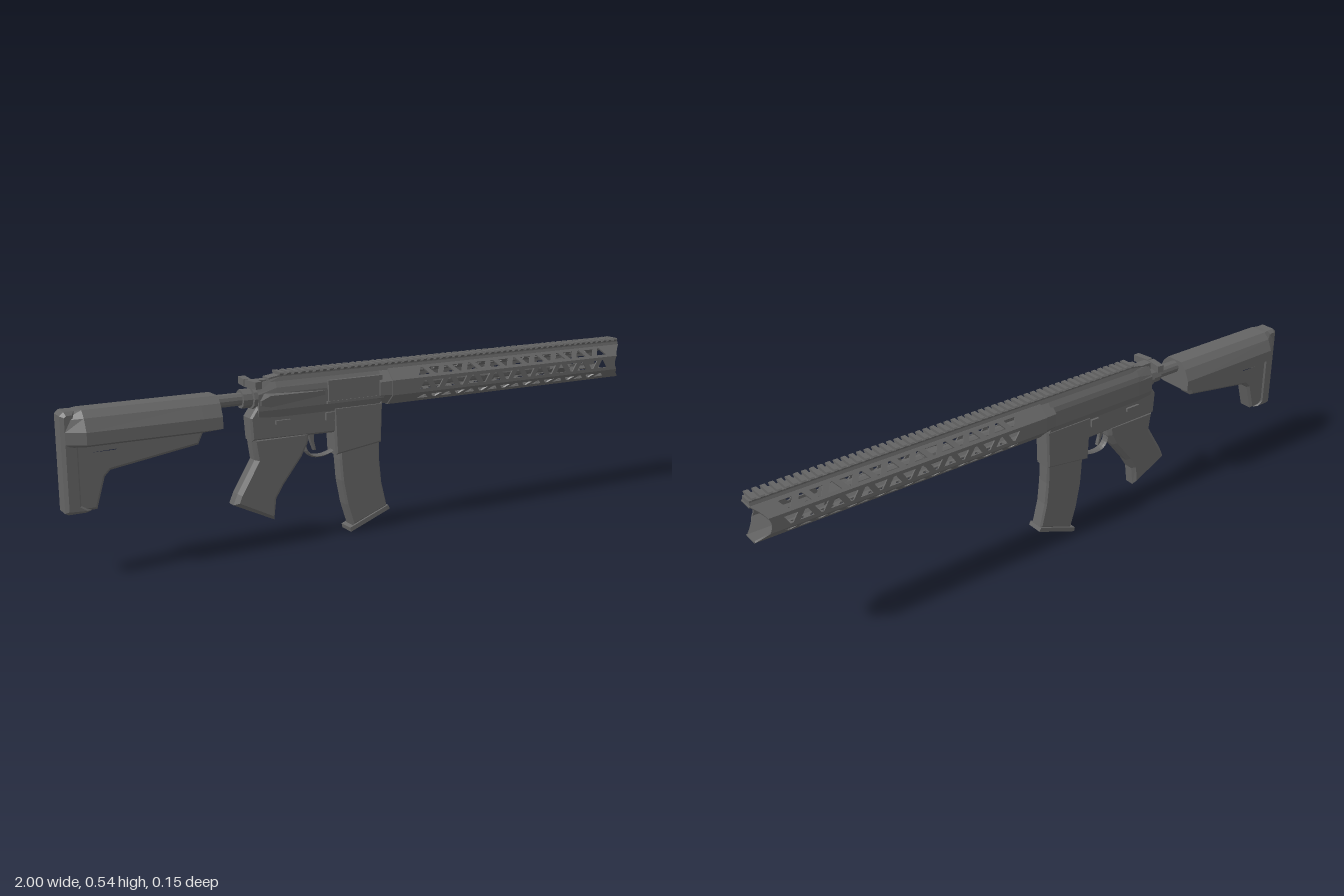
import * as THREE from 'three';

const gunmetal = new THREE.MeshStandardMaterial({ color: 0x646464 });
gunmetal.name = 'gunmetal';
gunmetal.flatShading = true;
const AXIS = 0.455; // height of the barrel line

export function createModel() {
  const model = new THREE.Group();
  const body = new THREE.Group();
  body.name = 'body';
  body.position.z = -0.007;
  model.add(body);

  const add = (name, geometry, x = 0, y = 0, z = 0) => {
    const mesh = new THREE.Mesh(geometry, gunmetal);
    mesh.name = name;
    mesh.position.set(x, y, z);
    body.add(mesh);
    return mesh;
  };
  const box = (name, w, h, d, x, y, z = 0) => add(name, new THREE.BoxGeometry(w, h, d), x, y, z);

  // Cylinder lying along x
  const rod = (name, r0, r1, x0, x1, y, sides = 12, turn = 0) => {
    const g = new THREE.CylinderGeometry(r1, r0, x1 - x0, sides);
    g.rotateY(turn).rotateZ(-Math.PI / 2);
    return add(name, g, (x0 + x1) / 2, y);
  };

  // Side outline given a thickness, with bevelled edges
  const prism = (name, pts, thick, bevel = 0.006, holes = []) => {
    const shape = new THREE.Shape(pts.map(p => new THREE.Vector2(...p)));
    holes.forEach(h => shape.holes.push(new THREE.Path(h.map(p => new THREE.Vector2(...p)))));
    const g = new THREE.ExtrudeGeometry(shape, {
      depth: thick - 2 * bevel, bevelEnabled: bevel > 0, bevelSize: bevel,
      bevelThickness: bevel, bevelOffset: -bevel, bevelSegments: 1
    });
    return add(name, g.translate(0, 0, bevel - thick / 2));
  };

  // Loft along x; each section is [x, half outline of [y, z] from top to bottom, z shift]
  const loft = (name, sections) => {
    const rings = sections.map(([x, half, shift = 0]) => [
      ...half.map(([y, z]) => [x, y, z + shift]),
      ...half.slice().reverse().map(([y, z]) => [x, y, shift - z])
    ]);
    const n = rings[0].length, out = [];
    const tri = (...p) => p.forEach(q => out.push(...q));
    for (let i = 0; i < rings.length - 1; i++) {
      for (let j = 0; j < n; j++) {
        const k = (j + 1) % n, [a, b] = [rings[i], rings[i + 1]];
        tri(a[j], a[k], b[j]);
        tri(a[k], b[k], b[j]);
      }
    }
    const first = rings[0], last = rings[rings.length - 1];
    for (let j = 1; j < n - 1; j++) {
      tri(last[0], last[j], last[j + 1]);
      tri(first[0], first[j + 1], first[j]);
    }
    const g = new THREE.BufferGeometry();
    g.setAttribute('position', new THREE.Float32BufferAttribute(out, 3));
    g.computeVertexNormals();
    return add(name, g);
  };

  // Stock: wide faceted body, thin lower frame with a slot, and butt pad
  const stockHalf = (w, top, low) => [
    [top, w * 0.45], [top - 0.02, w * 0.75], [0.43, w], [0.395, w], [low, w * 0.7]
  ];
  loft('stockBody', [
    [-0.99, stockHalf(0.034, 0.482, 0.386)],
    [-0.94, stockHalf(0.066, 0.487, 0.386)],
    [-0.6, stockHalf(0.068, 0.487, 0.386)],
    [-0.54, stockHalf(0.068, 0.487, 0.392)]
  ]);
  prism('stockFrame', [
    [-0.97, 0.47], [-0.56, 0.45], [-0.56, 0.392], [-0.582, 0.385], [-0.6, 0.347],
    [-0.865, 0.307], [-0.882, 0.29], [-0.908, 0.2], [-0.97, 0.2]
  ], 0.058, 0.008, [[[-0.93, 0.357], [-0.93, 0.373], [-0.835, 0.373], [-0.845, 0.357]]]);
  prism('buttPad', [
    [-1, 0.2], [-1, 0.475], [-0.988, 0.486], [-0.96, 0.486], [-0.95, 0.44],
    [-0.95, 0.22], [-0.925, 0.2], [-0.94, 0.195], [-0.99, 0.195]
  ], 0.068, 0.01);

  // Stock tube and lock rings
  rod('stockTube', 0.02, 0.02, -0.56, -0.4, 0.462);
  rod('lockRing', 0.029, 0.029, -0.455, -0.425, 0.462, 10);
  rod('endPlate', 0.034, 0.034, -0.422, -0.4, 0.462, 10);

  // Upper receiver
  const upperHalf = (top, w) => [
    [top, w * 0.5], [top - 0.025, w * 0.9], [0.475, w], [0.425, w], [0.4, w * 0.75]
  ];
  loft('upperReceiver', [
    [-0.41, upperHalf(0.505, 0.034)], [-0.35, upperHalf(0.516, 0.037)], [0.01, upperHalf(0.516, 0.038)]
  ]);
  rod('barrelCollar', 0.054, 0.058, 0, 0.045, AXIS, 8, Math.PI / 8);
  box('ejectionCover', 0.19, 0.065, 0.012, -0.085, 0.465, 0.038);
  box('coverHinge', 0.2, 0.008, 0.01, -0.085, 0.43, 0.041);
  loft('forwardAssist', [
    [-0.425, [[0.467, 0.004], [0.452, 0.004]], 0.081],
    [-0.39, [[0.477, 0.022], [0.443, 0.022]], 0.053],
    [-0.19, [[0.468, 0.005], [0.455, 0.005]], 0.037]
  ]);

  // Charging handle with two wings
  box('chargingHandle', 0.07, 0.02, 0.03, -0.4, 0.505);
  for (const s of [1, -1]) {
    const wing = box('chargingWing', 0.022, 0.022, 0.058, -0.425, 0.508, s * 0.031);
    wing.rotation.y = s * 0.15;
  }

  // Lower receiver and magazine well
  prism('lowerReceiver', [
    [-0.43, 0.335], [-0.435, 0.405], [-0.41, 0.44], [-0.4, 0.46], [-0.36, 0.43],
    [0.012, 0.425], [0.018, 0.4], [-0.13, 0.33]
  ], 0.056);
  prism('magazineWell', [
    [-0.155, 0.41], [0.02, 0.41], [0.016, 0.28], [-0.148, 0.258], [-0.152, 0.335]
  ], 0.064);
  for (const s of [1, -1]) {
    box('selectorLever', 0.05, 0.012, 0.01, -0.33, 0.385, s * 0.031);
    box('releaseButton', 0.03, 0.024, 0.01, -0.17, 0.385, s * 0.031);
  }

  // Trigger and guard
  const guardPath = new THREE.CatmullRomCurve3([
    [-0.25, 0.34], [-0.24, 0.28], [-0.222, 0.262], [-0.185, 0.258], [-0.148, 0.268]
  ].map(p => new THREE.Vector3(...p, 0)));
  const guard = new THREE.TubeGeometry(guardPath, 16, 0.005, 6, false);
  add('triggerGuard', guard.scale(1, 1, 2.6));
  prism('trigger', [
    [-0.235, 0.34], [-0.212, 0.34], [-0.212, 0.305], [-0.205, 0.277], [-0.214, 0.277], [-0.225, 0.305]
  ], 0.014, 0.002);

  // Pistol grip
  prism('grip', [
    [-0.43, 0.345], [-0.235, 0.345], [-0.24, 0.305], [-0.262, 0.265], [-0.325, 0.185],
    [-0.35, 0.145], [-0.358, 0.08], [-0.492, 0.145], [-0.478, 0.178], [-0.42, 0.275]
  ], 0.055, 0.012);

  // Curved magazine and slanted base plate
  prism('magazine', [
    [-0.13, 0.3], [0.012, 0.3], [0.014, 0.22], [0.022, 0.145], [0.042, 0.065],
    [-0.085, 0.018], [-0.108, 0.09], [-0.124, 0.17], [-0.13, 0.24]
  ], 0.05, 0.006);
  prism('magazineBase', [
    [-0.095, 0], [-0.098, 0.014], [0.043, 0.068], [0.049, 0.055]
  ], 0.056, 0);

  // Eight-sided handguard: long panels with tapered cut-outs and a scooped muzzle end
  const R = 0.057, halfSide = R * Math.tan(Math.PI / 8), wall = 0.005;
  for (let k = 0; k < 8; k++) {
    const a = k * Math.PI / 4;
    const isTop = k === 6;
    const endAt = v => {
      const y = Math.min(1, Math.abs(v * Math.cos(a) - R * Math.sin(a)) / R);
      return 0.958 + 0.042 * y * y;
    };
    const pts = [[0.042, -halfSide]];
    for (let i = 0; i <= 6; i++) {
      const v = halfSide * (i / 3 - 1);
      pts.push([endAt(v), v]);
    }
    pts.push([0.042, halfSide]);
    const shape = new THREE.Shape(pts.map(p => new THREE.Vector2(...p)));
    const lower = k === 1 || k === 3;
    for (let i = 0; i < 17 && !isTop; i++) {
      const x = 0.165 + i * 0.046, s = (i % 2 ? -1 : 1) * (lower ? 0.7 : 1);
      shape.holes.push(new THREE.Path([
        [x - 0.021, -0.013 * s], [x + 0.021, -0.013 * s], [x + 0.004, 0.014 * s], [x - 0.004, 0.014 * s]
      ].map(p => new THREE.Vector2(...p))));
    }
    const g = new THREE.ExtrudeGeometry(shape, { depth: wall, bevelEnabled: false });
    add('handguardPanel', g.translate(0, 0, R - wall).rotateX(a), 0, AXIS);
  }

  // Barrel and muzzle inside the handguard
  rod('barrel', 0.017, 0.017, 0.03, 0.72, AXIS, 10);
  rod('gasBlock', 0.024, 0.024, 0.4, 0.46, AXIS, 8);
  rod('muzzle', 0.022, 0.03, 0.7, 0.78, AXIS, 4, 0.2);

  // Top rail: continuous base with a row of dovetail teeth
  const railHalf = top => [[top, 0.02], [top - 0.005, 0.02], [0.508, 0.024]];
  loft('railBase', [[-0.37, railHalf(0.52)], [-0.33, railHalf(0.526)], [0.997, railHalf(0.526)]]);
  const tooth = [[0.535, 0.025], [0.531, 0.028], [0.521, 0.017]];
  for (let x = -0.335; x < 0.98; x += 0.0243) {
    loft('railTooth', [[x, tooth], [x + 0.0135, tooth]]);
  }

  return model;
}
